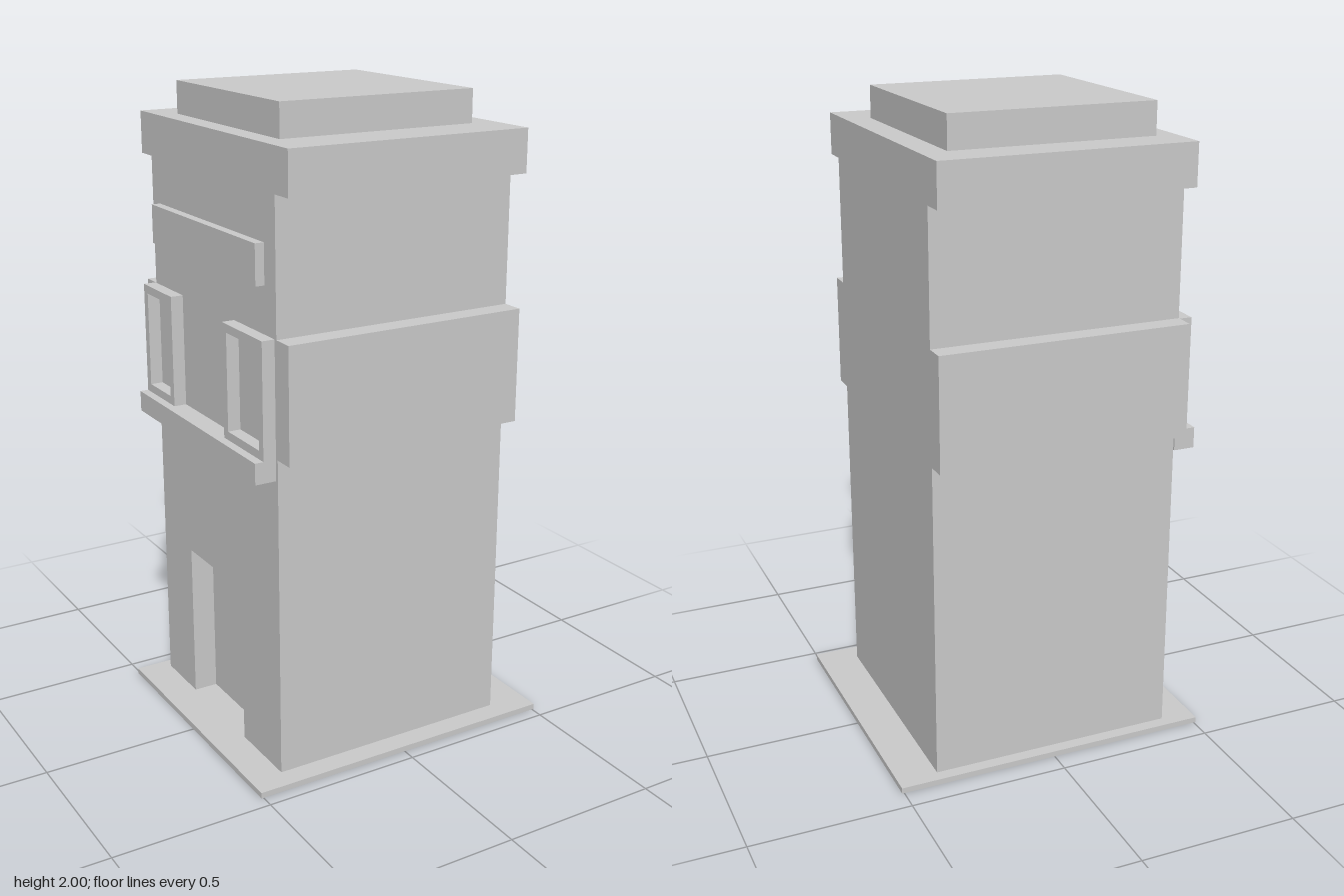
import * as THREE from 'three';

const material = new THREE.MeshStandardMaterial({ color: 0xcccccc, flatShading: true });

// Box given by its [min, max] range on each axis
function box(name, [x0, x1], [y0, y1], [z0, z1]) {
  const mesh = new THREE.Mesh(new THREE.BoxGeometry(x1 - x0, y1 - y0, z1 - z0), material);
  mesh.position.set((x0 + x1) / 2, (y0 + y1) / 2, (z0 + z1) / 2);
  mesh.name = name;
  return mesh;
}

// Outline drawn as (z, y), extruded from x towards -x
function slab(name, shape, x, depth) {
  const geometry = new THREE.ExtrudeGeometry(shape, { depth, bevelEnabled: false });
  geometry.rotateY(-Math.PI / 2);
  const mesh = new THREE.Mesh(geometry, material);
  mesh.position.x = x;
  mesh.name = name;
  return mesh;
}

const outline = (points) => points.map(([z, y]) => new THREE.Vector2(z, y));
const rectangle = (z0, z1, y0, y1) => outline([[z0, y0], [z1, y0], [z1, y1], [z0, y1]]);

export function createModel() {
  const model = new THREE.Group();
  model.name = 'building';

  const wallX = [-0.402, 0.38];
  const wallZ = [-0.392, 0.39];
  const baseTop = 0.018, roof = 1.9;
  const doorDepth = 0.076;

  // Ground plate and main body
  model.add(box('groundPlate', [-0.507, 0.507], [0, baseTop], [-0.43, 0.458]));
  model.add(box('body', [wallX[0] + doorDepth, wallX[1]], [baseTop, roof], wallZ));

  // Entrance wall with the doorway notched out
  const facade = new THREE.Shape(outline([
    [wallZ[0], baseTop], [-0.196, baseTop], [-0.196, 0.525], [0.152, 0.525],
    [0.152, baseTop], [wallZ[1], baseTop], [wallZ[1], roof], [wallZ[0], roof],
  ]));
  model.add(slab('entranceWall', facade, wallX[0] + doorDepth, doorDepth));

  // Bands and cornices on the front and back walls
  for (const [side, s, wall] of [['front', 1, wallZ[1]], ['back', -1, wallZ[0]]]) {
    const span = (out) => [wall, s * out].sort((a, b) => a - b);
    model.add(box(side + 'Band', wallX, [1.02, 1.37], span(0.457)));
    model.add(box(side + 'Cornice', wallX, [1.77, roof], span(0.463)));
  }

  // Roof block
  model.add(box('roofBlock', [-0.337, 0.3], [roof, 2], [-0.335, 0.303]));

  // Ledge and sign board on the entrance wall
  model.add(box('ledge', [-0.469, wallX[0]], [0.955, 1.02], [-0.398, 0.38]));
  model.add(box('signBoard', [-0.43, wallX[0]], [1.51, 1.63], [-0.342, 0.326]));

  // Window frames standing on the ledge
  const bar = 0.026;
  for (const [name, z0, z1] of [['backWindowFrame', -0.398, -0.2], ['frontWindowFrame', 0.14, 0.38]]) {
    const frame = new THREE.Shape(rectangle(z0, z1, 1.02, 1.37));
    frame.holes.push(new THREE.Path(rectangle(z0 + bar, z1 - bar, 1.02 + bar, 1.37 - bar)));
    model.add(slab(name, frame, wallX[0], 0.04));
  }

  return model;
}
